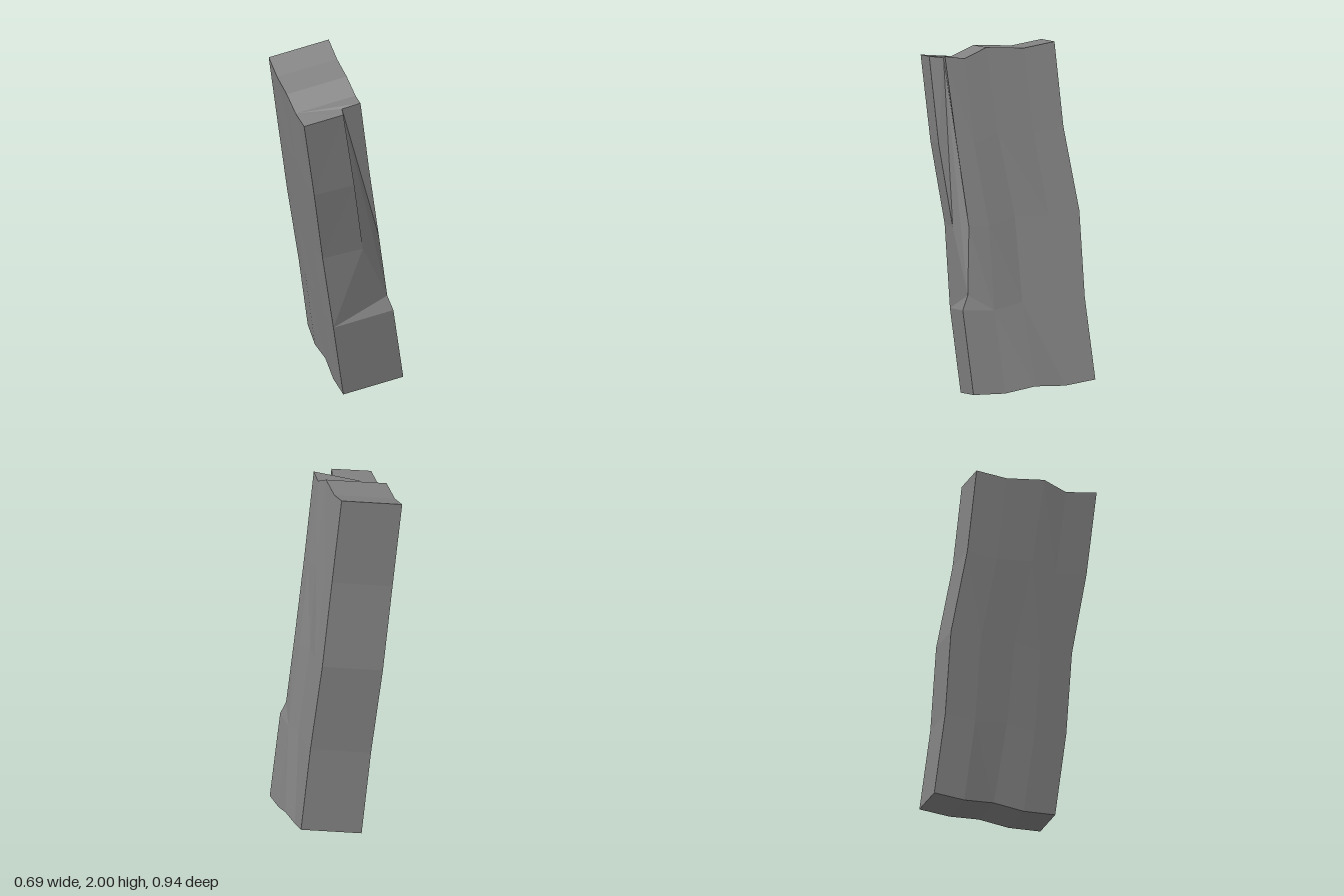
import * as THREE from 'three';

const V = (x, y, z) => new THREE.Vector3(x, y, z);
const points = (rows) => rows.map((p) => V(...p));

// Flat-shaded mesh from polygons, each cut into a fan from its first corner
function facetMesh(name, polygons, material) {
  const corners = [];
  for (const p of polygons) {
    for (let i = 1; i < p.length - 1; i++) corners.push(p[0], p[i], p[i + 1]);
  }
  const geometry = new THREE.BufferGeometry().setFromPoints(corners);
  geometry.computeVertexNormals();
  const mesh = new THREE.Mesh(geometry, material);
  mesh.name = name;
  return mesh;
}

export function createModel() {
  const group = new THREE.Group();
  group.name = 'leaningStoneSlab';
  const stone = new THREE.MeshStandardMaterial({ color: 0x848484, flatShading: true });
  stone.name = 'grey stone';

  // Edges of the broad side: front and back run upward, bottom and top run backward
  const front = points([[0.345, 0.06, 0.22], [0.28, 0.53, 0.275], [0.215, 1.0, 0.3], [0.155, 1.46, 0.375], [0.09, 1.94, 0.425]]);
  const back = points([[0.255, 0.12, -0.47], [0.195, 0.58, -0.415], [0.125, 1.06, -0.39], [0.06, 1.53, -0.305], [0, 2, -0.26]]);
  const bottom = points([[0.345, 0.06, 0.22], [0.317, 0.06, 0.04], [0.3, 0.095, -0.13], [0.268, 0.09, -0.3], [0.255, 0.12, -0.47]]);
  const top = points([[0.09, 1.94, 0.425], [0.07, 1.925, 0.25], [0.04, 1.98, 0.125], [0.02, 1.97, -0.09], [0, 2, -0.26]]);
  const N = 4;

  // Blend the four edges into a grid
  const blend = (i, j) => {
    const v = i / N, u = j / N;
    return V(0, 0, 0)
      .addScaledVector(bottom[j], 1 - v).addScaledVector(top[j], v)
      .addScaledVector(front[i], 1 - u).addScaledVector(back[i], u)
      .addScaledVector(bottom[0], -(1 - u) * (1 - v)).addScaledVector(bottom[N], -u * (1 - v))
      .addScaledVector(top[0], -(1 - u) * v).addScaledVector(top[N], -u * v);
  };
  const across = V(0.347, 0.056, -0.046);
  const R = [], L = [];
  for (let i = 0; i <= N; i++) {
    R.push([]);
    L.push([]);
    for (let j = 0; j <= N; j++) {
      R[i].push(blend(i, j));
      L[i].push(blend(i, j).sub(across));
    }
  }
  // Shallow dent in the left side
  R[1][2].x -= 0.018;
  R[2][2].x -= 0.018;

  // Notch broken out of the upper front edge
  const inner = V(-0.025, 1.912, 0.36);
  const apex = V(0.25, 0.61, 0.245);
  const lip = { 2: V(0.1, 0.97, 0.318), 3: V(0.04, 1.43, 0.392), 4: V(-0.03, 1.92, 0.44) };
  R[2][0] = V(0.205, 0.99, 0.235);
  R[3][0] = V(0.14, 1.46, 0.3);
  R[4][0] = V(0.08, 1.94, 0.36);

  const faces = [];
  for (let i = 0; i < N; i++) {
    // Broad sides
    for (let j = 0; j < N; j++) {
      const side = [R[i][j + 1], R[i + 1][j + 1], R[i + 1][j], R[i][j]];
      if (i === 1 && j === 0) side.splice(3, 0, apex);
      faces.push(side);
      faces.push([L[i][j], L[i + 1][j], L[i + 1][j + 1], L[i][j + 1]]);
    }
    // Front and back
    const strip = [L[i][0], lip[i] || R[i][0], lip[i + 1] || R[i + 1][0], L[i + 1][0]];
    if (i === 1) strip.splice(2, 0, apex);
    faces.push(strip);
    faces.push([R[i][N], L[i][N], L[i + 1][N], R[i + 1][N]]);
    // Top and bottom
    faces.push(i === 0
      ? [L[N][1], L[N][0], lip[4], inner, R[N][0], R[N][1]]
      : [L[N][i], R[N][i], R[N][i + 1], L[N][i + 1]]);
    faces.push([L[0][i], L[0][i + 1], R[0][i + 1], R[0][i]]);
  }
  group.add(facetMesh('slab', faces, stone));

  // Two broken faces inside the notch
  group.add(facetMesh('notch', [
    [inner, lip[4], lip[3], lip[2], apex],
    [inner, apex, R[2][0], R[3][0], R[4][0]],
  ], stone));

  return group;
}
